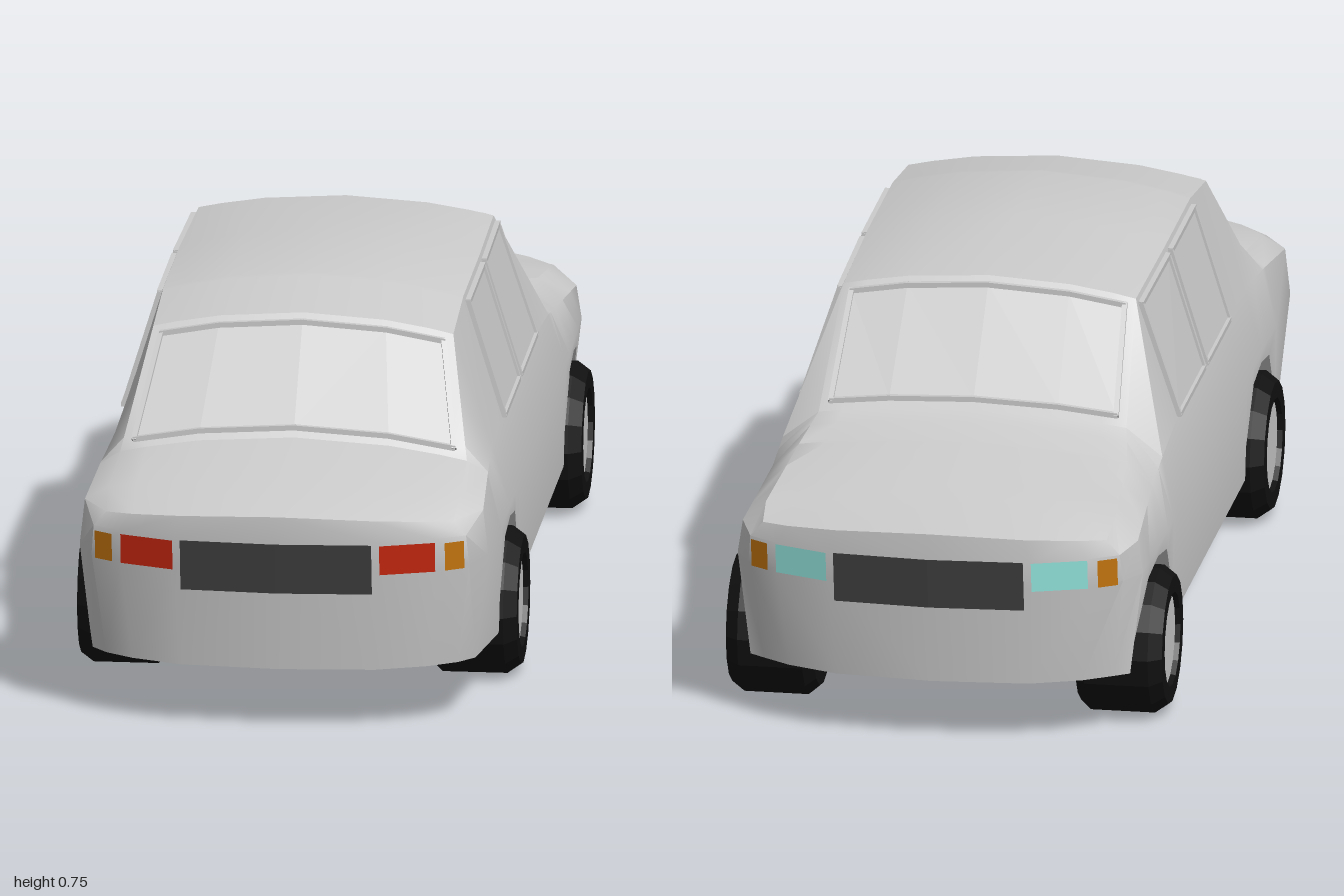
import * as THREE from 'three';
import { toCreasedNormals } from 'three/addons/utils/BufferGeometryUtils.js';

const V = (x, y, z) => new THREE.Vector3(x, y, z);
const mat = (color, extra = {}) => new THREE.MeshStandardMaterial({ color, ...extra });
const GREY = 0xcccccc, FLOOR = 0.125, BOW = 0.087;

// Key sections, rear at +z: z, centre height, top edge x/y, waist x/y, bulge x, bottom x, bow
const KEYS = [
  [-0.93, 0.437, 0.335, 0.415, 0.36, 0.385, 0.365, 0.34, BOW],
  [-0.865, 0.452, 0.34, 0.435, 0.385, 0.395, 0.395, 0.37, 0],
  [-0.6, 0.49, 0.32, 0.465, 0.37, 0.42, 0.4, 0.395, 0],
  [-0.49, 0.515, 0.3, 0.495, 0.37, 0.44, 0.4, 0.395, 0],
  [-0.29, 0.722, 0.285, 0.69, 0.365, 0.452, 0.4, 0.395, 0],
  [0.02, 0.745, 0.29, 0.695, 0.365, 0.452, 0.4, 0.395, 0],
  [0.31, 0.735, 0.29, 0.695, 0.365, 0.452, 0.4, 0.395, 0],
  [0.495, 0.705, 0.29, 0.67, 0.365, 0.452, 0.4, 0.395, 0],
  [0.675, 0.505, 0.335, 0.468, 0.375, 0.44, 0.4, 0.395, 0],
  [0.85, 0.475, 0.34, 0.445, 0.385, 0.42, 0.395, 0.37, 0],
  [0.93, 0.44, 0.335, 0.418, 0.36, 0.39, 0.365, 0.34, BOW],
];
const AXLES = [-0.7, 0.49];
const COLS = [0, 0.55, 0.84, 1];

// Key values interpolated at any z
function keyAt(z) {
  let i = 0;
  while (i < KEYS.length - 2 && z > KEYS[i + 1][0]) i++;
  const t = (z - KEYS[i][0]) / (KEYS[i + 1][0] - KEYS[i][0]);
  return KEYS[i].map((a, n) => a + (KEYS[i + 1][n] - a) * t);
}
// Point on the crowned top, w = 0 at the centre and 1 at the edge
const topY = (k, w) => k[3] + (k[1] - k[3]) * (1 - w * w);
// Ends bow outwards and lean in towards the floor
function bowed(k, x, y, w) {
  const s = Math.sign(k[0]), lean = (k[8] / BOW) * 0.16 * Math.max(0, 0.4 - y);
  return V(x, y, k[0] + s * (k[8] * (1 - Math.abs(w) ** 3) - lean));
}
const topPoint = (k, w) => bowed(k, k[2] * w, topY(k, w), w);

// Half section from the top centre round to the floor centre
function section(z, yb) {
  const k = keyAt(z), inner = 0.55 * k[7];
  const xb = k[7] + (k[6] - k[7]) * (yb - FLOOR) / (0.33 - FLOOR);
  return [
    ...COLS.map(w => topPoint(k, w)),
    bowed(k, k[4], k[5], 1), bowed(k, k[6], 0.33, 1), bowed(k, xb, yb, 1),
    bowed(k, inner, yb, 0.55), bowed(k, inner, FLOOR, 0.55), bowed(k, 0, FLOOR, 0),
  ];
}
// Column of an end face
function capColumn(k, w) {
  return [[k[2], topY(k, w)], [k[4], k[5]], [k[6], 0.33], [k[7], FLOOR]].map(([x, y]) => bowed(k, x * w, y, w));
}

// Triangles of a grid, with its mirror image
function addGrid(out, rows) {
  const tri = (a, b, c) => {
    if (b.clone().sub(a).cross(c.clone().sub(a)).length() < 1e-7) return;
    for (const p of [a, b, c]) out.push(p.x, p.y, p.z);
    for (const p of [a, c, b]) out.push(-p.x, p.y, p.z);
  };
  for (let i = 0; i + 1 < rows.length; i++)
    for (let j = 0; j + 1 < rows[i].length; j++) {
      const a = rows[i][j], b = rows[i + 1][j], c = rows[i][j + 1], d = rows[i + 1][j + 1];
      tri(a, b, c);
      tri(b, d, c);
    }
}

function geometryFrom(list) {
  const g = new THREE.BufferGeometry();
  g.setAttribute('position', new THREE.Float32BufferAttribute(list, 3));
  g.computeVertexNormals();
  return g;
}

function body() {
  // Stations: the keys plus the outline of each wheel arch
  const arch = [[-0.165, FLOOR], [-0.165, 0.19], [-0.09, 0.295], [0, 0.31], [0.09, 0.295], [0.165, 0.19], [0.165, FLOOR]];
  const archY = z => {
    for (const c of AXLES) {
      const d = z - c;
      for (let i = 1; i < 5; i++) {
        const [a, ya] = arch[i], [b, yb] = arch[i + 1];
        if (d > a + 1e-6 && d <= b - 1e-6) return ya + (yb - ya) * (d - a) / (b - a);
      }
    }
    return FLOOR;
  };
  const stations = KEYS.map(k => [k[0], archY(k[0])])
    .filter(([z]) => !AXLES.some(c => Math.abs(Math.abs(z - c) - 0.165) < 1e-4));
  for (const c of AXLES) for (const [d, y] of arch) stations.push([c + d, y]);
  stations.sort((a, b) => a[0] - b[0]);
  const out = [];
  addGrid(out, stations.map(([z, y]) => section(z, y)));
  addGrid(out, COLS.map(w => capColumn(KEYS[0], w)));
  addGrid(out, [...COLS].reverse().map(w => capColumn(KEYS[KEYS.length - 1], w)));
  const mesh = new THREE.Mesh(toCreasedNormals(geometryFrom(out), 0.6), mat(GREY));
  mesh.name = 'body';
  return mesh;
}

// Strip between two edge curves, optionally with a thin raised frame
function pane(name, a, b, offset, color, framed) {
  const group = new THREE.Group(), out = [];
  group.name = name;
  [a, b] = [a, b].map(c => c.map(p => p.clone().add(offset)));
  for (let i = 0; i + 1 < a.length; i++)
    for (const p of [a[i], b[i], a[i + 1], b[i], b[i + 1], a[i + 1]]) out.push(p.x, p.y, p.z);
  const panel = new THREE.Mesh(geometryFrom(out), mat(color, { side: THREE.DoubleSide }));
  panel.name = name + 'Panel';
  group.add(panel);
  const loop = [...a, ...[...b].reverse()];
  if (framed) loop.forEach((p, i) => {
    const q = loop[(i + 1) % loop.length];
    const bar = new THREE.Mesh(new THREE.BoxGeometry(0.01, 0.01, p.distanceTo(q) + 0.006), mat(GREY));
    bar.position.copy(p).lerp(q, 0.5);
    bar.lookAt(q);
    bar.name = name + 'Frame';
    group.add(bar);
  });
  return group;
}

// Panel lying on an end face between x0 and x1
function endPanel(name, s, xs, y0, y1, color) {
  const k = KEYS[s < 0 ? 0 : KEYS.length - 1];
  const edge = y => xs.map(x => bowed(k, x, y, x / 0.362));
  return pane(name, edge(y1), edge(y0), V(0, 0, s * 0.008), color, false);
}

function wheel(side, z) {
  const g = new THREE.Group();
  g.name = 'wheel';
  const profile = [[0, -0.085], [0.125, -0.085], [0.143, -0.065], [0.143, 0.06], [0.125, 0.085], [0.092, 0.085], [0.088, 0.07]];
  const tyre = new THREE.Mesh(
    new THREE.LatheGeometry(profile.map(p => new THREE.Vector2(...p)), 16),
    mat(0x111111, { flatShading: true, side: THREE.DoubleSide }));
  tyre.name = 'tyre';
  const hub = new THREE.Mesh(new THREE.CylinderGeometry(0.09, 0.09, 0.15, 16), mat(GREY));
  hub.name = 'hub';
  g.add(tyre, hub);
  g.rotation.z = -side * Math.PI / 2;
  g.position.set(side * 0.34, 0.143, z);
  return g;
}

export function createModel() {
  const car = new THREE.Group();
  car.name = 'car';
  car.add(body());

  // Windscreen and rear window
  const ws = [-0.93, -0.55, 0, 0.55, 0.93];
  const across = z => ws.map(w => topPoint(keyAt(z), w));
  car.add(pane('windscreen', across(-0.305), across(-0.475), V(0, 0.003, -0.003), GREY, true));
  car.add(pane('rearWindow', across(0.51), across(0.662), V(0, 0.003, 0.003), GREY, true));

  for (const s of [-1, 1]) {
    // Side windows
    const along = (zs, t) => zs.map(z => {
      const k = keyAt(z);
      return V(s * (k[2] + (k[4] - k[2]) * t), k[3] + (k[5] - k[3]) * t, z);
    });
    for (const [name, zs] of [['frontSideWindow', [-0.28, 0.005]], ['rearSideWindow', [0.035, 0.3]]])
      car.add(pane(name, along(zs, 0.06), along(zs, 0.98), V(s * 0.004, 0.001, 0), GREY, true));
    // Lamps
    const lamp = [0.2, 0.304].map(x => x * s), marker = [0.322, 0.357].map(x => x * s);
    car.add(endPanel('headlight', -1, lamp, 0.325, 0.385, 0x99eee6));
    car.add(endPanel('tailLight', 1, lamp, 0.325, 0.385, 0xcc2811));
    for (const e of [-1, 1]) car.add(endPanel('indicator', e, marker, 0.325, 0.382, 0xcc7a11));
    for (const z of AXLES) car.add(wheel(s, z));
  }
  // Dark centre panels
  const mid = [-0.185, 0, 0.185];
  car.add(endPanel('grille', -1, mid, 0.285, 0.387, 0x404040));
  car.add(endPanel('rearPanel', 1, mid, 0.285, 0.387, 0x404040));

  // The car stands turned on the ground
  car.rotation.y = -Math.PI / 6;
  const model = new THREE.Group();
  model.name = 'model';
  model.add(car);
  return model;
}
